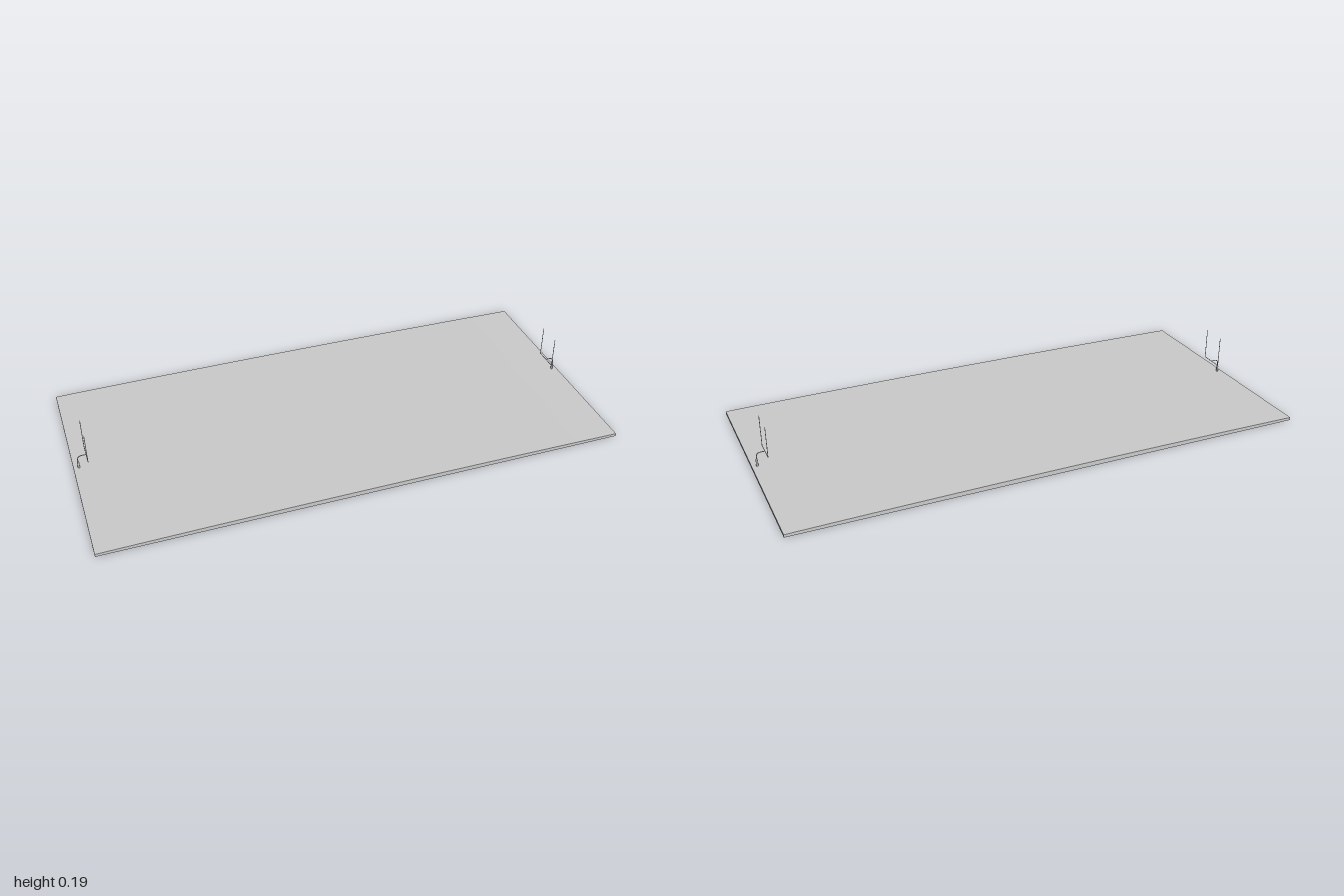
import * as THREE from 'three';

const V = (x, y, z = 0) => new THREE.Vector3(x, y, z);

export function createModel() {
  const model = new THREE.Group();
  const mat = new THREE.MeshStandardMaterial({ color: 0xcccccc });
  const add = (parent, name, geometry) => {
    const mesh = new THREE.Mesh(geometry, mat);
    mesh.name = name;
    parent.add(mesh);
    return mesh;
  };

  // Field slab: flat underneath, gently crowned along its length
  const W = 0.475, EDGE = 0.011, CROWN = 0.018;
  const profile = new THREE.Shape();
  profile.moveTo(-1, 0);
  profile.lineTo(1, 0);
  const steps = 24;
  for (let i = 0; i <= steps; i++) {
    const x = 1 - (2 * i) / steps;
    profile.lineTo(x, EDGE + (CROWN - EDGE) * (1 - x * x));
  }
  const slab = new THREE.ExtrudeGeometry(profile, { depth: 2 * W, bevelEnabled: false });
  slab.translate(0, 0, -W);
  add(model, 'field', slab);

  // Goal posts, one per end
  const R = 0.0012, POST_X = 0.98, BAR_X = 0.947, BAR_Y = 0.064, TOP = 0.185, HALF = 0.047;
  for (const side of [1, -1]) {
    const goal = new THREE.Group();
    goal.name = side > 0 ? 'leftGoal' : 'rightGoal';

    // Padding around the foot, narrowing at the top
    const pad = add(goal, 'postPad', new THREE.LatheGeometry(
      [[0, 0], [0.0042, 0], [0.004, 0.024], [0.0022, 0.032], [0, 0.032]].map(p => new THREE.Vector2(...p)), 12));
    pad.position.set(side * POST_X, 0.01, 0);

    // Curved neck leaning in to the crossbar
    const neck = new THREE.CurvePath();
    neck.add(new THREE.LineCurve3(V(side * POST_X, 0.01), V(side * POST_X, 0.046)));
    neck.add(new THREE.QuadraticBezierCurve3(
      V(side * POST_X, 0.046), V(side * POST_X, BAR_Y), V(side * (POST_X - 0.018), BAR_Y)));
    neck.add(new THREE.LineCurve3(V(side * (POST_X - 0.018), BAR_Y), V(side * BAR_X, BAR_Y)));
    add(goal, 'gooseneck', new THREE.TubeGeometry(neck, 32, 0.0016, 8));

    // Crossbar and two uprights
    const bar = add(goal, 'crossbar', new THREE.CylinderGeometry(R, R, 2 * HALF + 2 * R, 8));
    bar.rotation.x = Math.PI / 2;
    bar.position.set(side * BAR_X, BAR_Y, 0);
    for (const z of [-HALF, HALF]) {
      const upright = add(goal, 'upright', new THREE.CylinderGeometry(R, R, TOP - BAR_Y, 8));
      upright.position.set(side * BAR_X, (TOP + BAR_Y) / 2, z);
    }
    model.add(goal);
  }
  return model;
}
